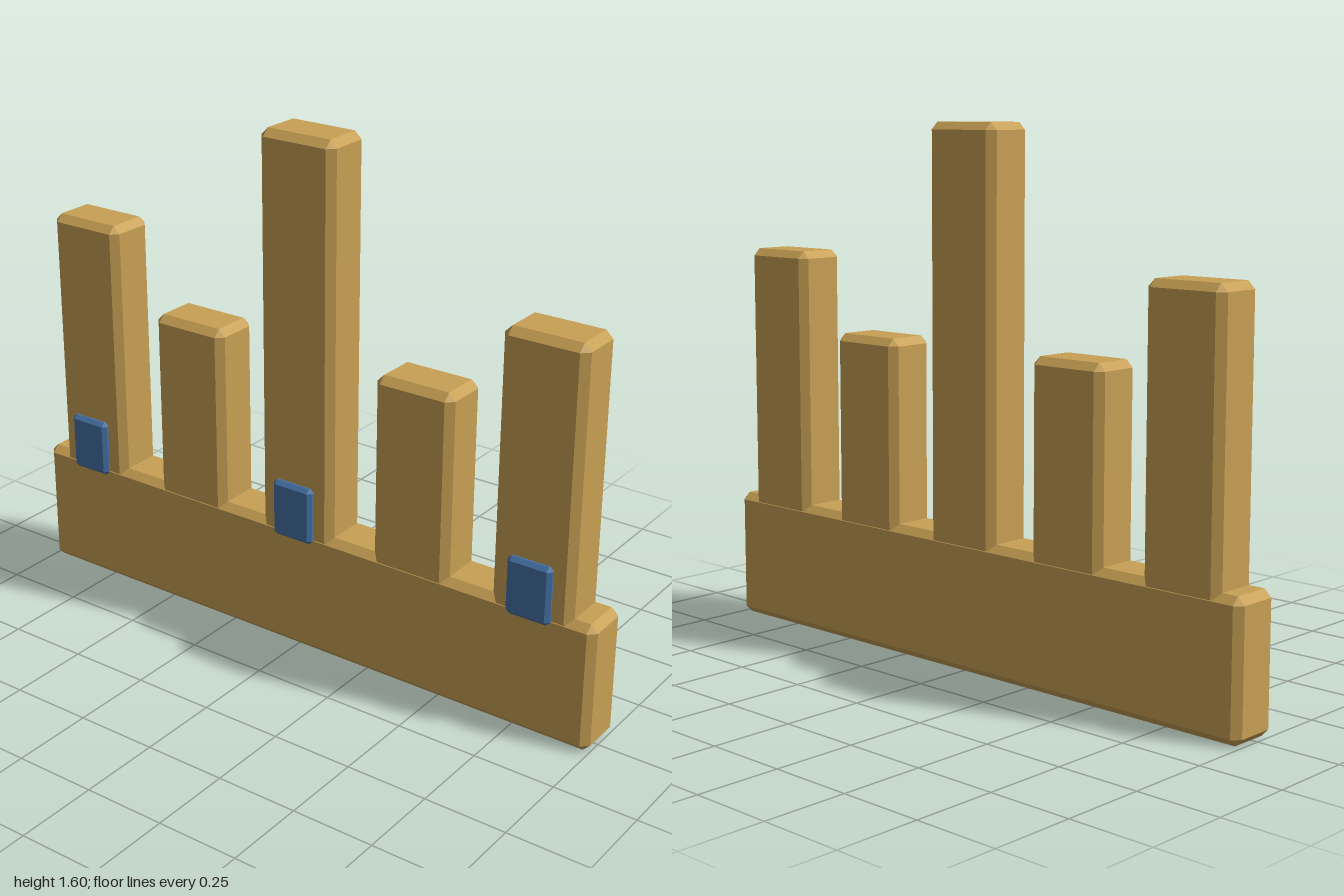
import * as THREE from 'three';
import { ConvexGeometry } from 'three/addons/geometries/ConvexGeometry.js';

// Box with every edge cut at 45 degrees
function chamferBox(w, h, d, c) {
  const points = [];
  for (const x of [-1, 1]) for (const y of [-1, 1]) for (const z of [-1, 1]) {
    const [X, Y, Z] = [w / 2, h / 2, d / 2];
    points.push(
      new THREE.Vector3(x * X, y * (Y - c), z * (Z - c)),
      new THREE.Vector3(x * (X - c), y * Y, z * (Z - c)),
      new THREE.Vector3(x * (X - c), y * (Y - c), z * Z)
    );
  }
  return new ConvexGeometry(points);
}

export function createModel() {
  const model = new THREE.Group();
  model.name = 'crown';

  const gold = new THREE.MeshStandardMaterial({ color: 0xc8a054 });
  gold.name = 'gold';
  const blue = new THREE.MeshStandardMaterial({ color: 0x4672a6 });
  blue.name = 'blue';

  function block(name, material, w, h, d, c, x, bottom, z) {
    const mesh = new THREE.Mesh(chamferBox(w, h, d, c), material);
    mesh.name = name;
    mesh.position.set(x, bottom + h / 2, z);
    model.add(mesh);
  }

  const depth = 0.16, bodyZ = -0.011, chamfer = 0.022;

  // Base bar
  block('baseBar', gold, 2, 0.4, depth, chamfer, 0, 0, bodyZ);

  // Five upright points, rooted in the bar
  const root = 0.36;
  [1.2, 0.96, 1.6, 0.96, 1.2].forEach((top, i) => {
    block('point' + (i + 1), gold, 0.256, top - root, depth, chamfer, (i - 2) * 0.4, root, bodyZ);
  });

  // Three jewels on the front
  [-0.8, 0, 0.8].forEach((x, i) => {
    block('jewel' + (i + 1), blue, 0.14, 0.18, 0.03, 0.012, x, 0.37, 0.076);
  });

  return model;
}
